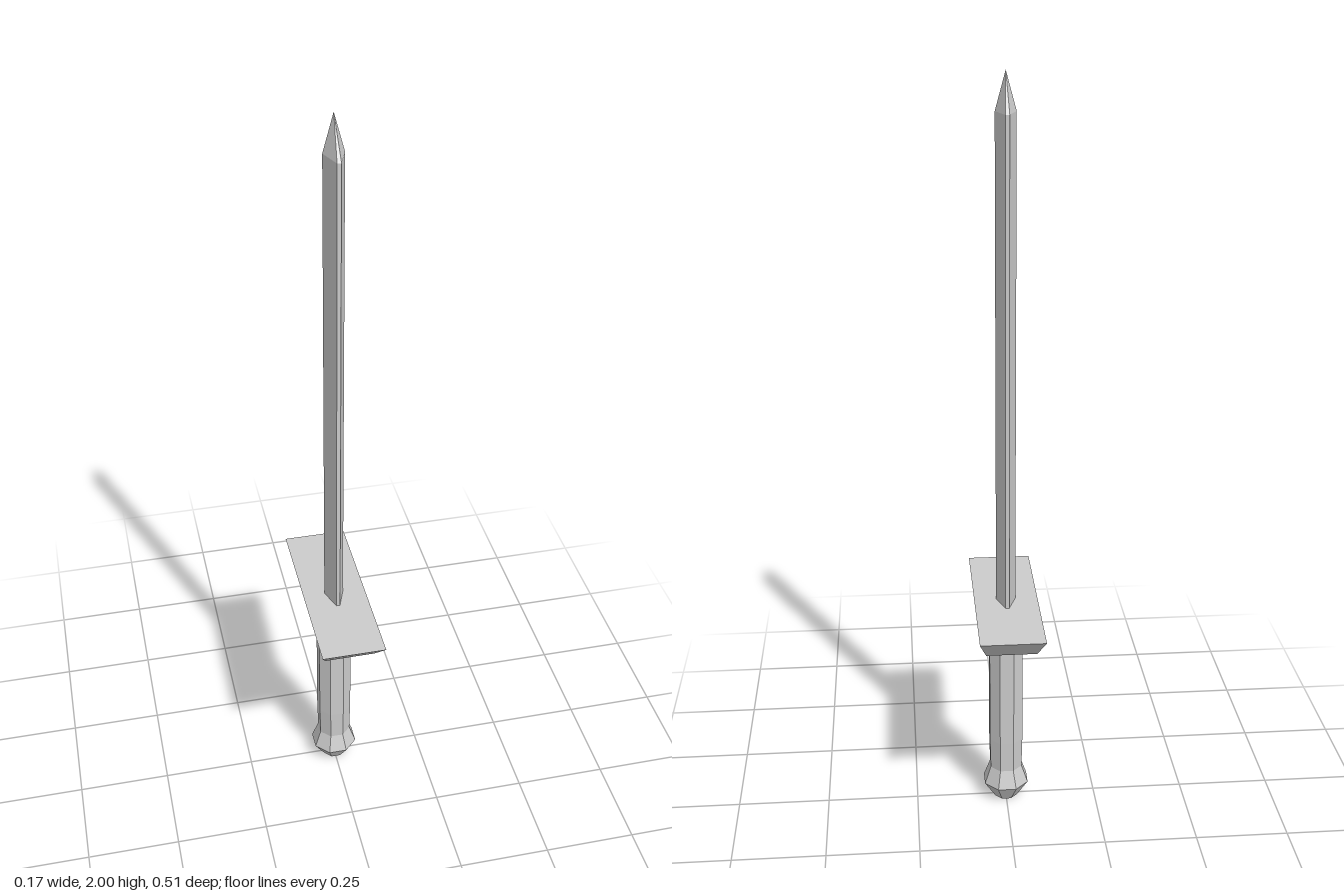
import * as THREE from 'three';

const material = new THREE.MeshStandardMaterial({ color: 0xcccccc, flatShading: true });

// Closed solid through stacked rings; outline holds [x, z] corners counter-clockwise
// from above, and each level is [y, scaleX, scaleZ].
function loft(name, outline, levels) {
  const rings = levels.map(([y, sx, sz]) => outline.map(([x, z]) => [x * sx, y, z * sz]));
  const positions = [];
  const tri = (...corners) => corners.forEach((p) => positions.push(...p));
  const n = outline.length;
  for (let i = 0; i < rings.length - 1; i++) {
    for (let j = 0; j < n; j++) {
      const k = (j + 1) % n;
      tri(rings[i][j], rings[i][k], rings[i + 1][k]);
      tri(rings[i][j], rings[i + 1][k], rings[i + 1][j]);
    }
  }
  const bottom = rings[0], top = rings[rings.length - 1];
  for (let j = 1; j < n - 1; j++) {
    tri(bottom[0], bottom[j + 1], bottom[j]);
    tri(top[0], top[j], top[j + 1]);
  }
  const geometry = new THREE.BufferGeometry();
  geometry.setAttribute('position', new THREE.Float32BufferAttribute(positions, 3));
  geometry.computeVertexNormals();
  const mesh = new THREE.Mesh(geometry, material);
  mesh.name = name;
  return mesh;
}

// Octagon whose flat sides lie one unit from the centre
const octagon = Array.from({ length: 8 }, (_, i) => {
  const a = (i + 0.5) * Math.PI / 4, r = 1 / Math.cos(Math.PI / 8);
  return [r * Math.cos(a), -r * Math.sin(a)];
});
const rectangle = [[1, 1], [1, -1], [-1, -1], [-1, 1]];
// Diamond section with narrow blunt edges
const bladeSection = [[0.026, 0], [0.005, -0.058], [-0.005, -0.058],
  [-0.026, 0], [-0.005, 0.058], [0.005, 0.058]];

export function createModel() {
  const sword = new THREE.Group();
  sword.name = 'sword';
  sword.add(
    // Faceted pommel
    loft('pommel', octagon, [[0, 0.03, 0.03], [0.05, 0.06, 0.06], [0.1, 0.043, 0.043]]),
    // Eight-sided grip, slightly narrower at the pommel
    loft('grip', octagon, [[0.1, 0.043, 0.043], [0.19, 0.045, 0.045], [0.56, 0.045, 0.045]]),
    // Guard flaring towards the blade
    loft('guard', rectangle, [[0.56, 0.066, 0.2], [0.62, 0.085, 0.255]]),
    // Blade with pointed tip
    loft('blade', bladeSection, [[0.62, 1, 1], [1.905, 1, 1], [2, 0.001, 0.001]]),
  );
  return sword;
}
